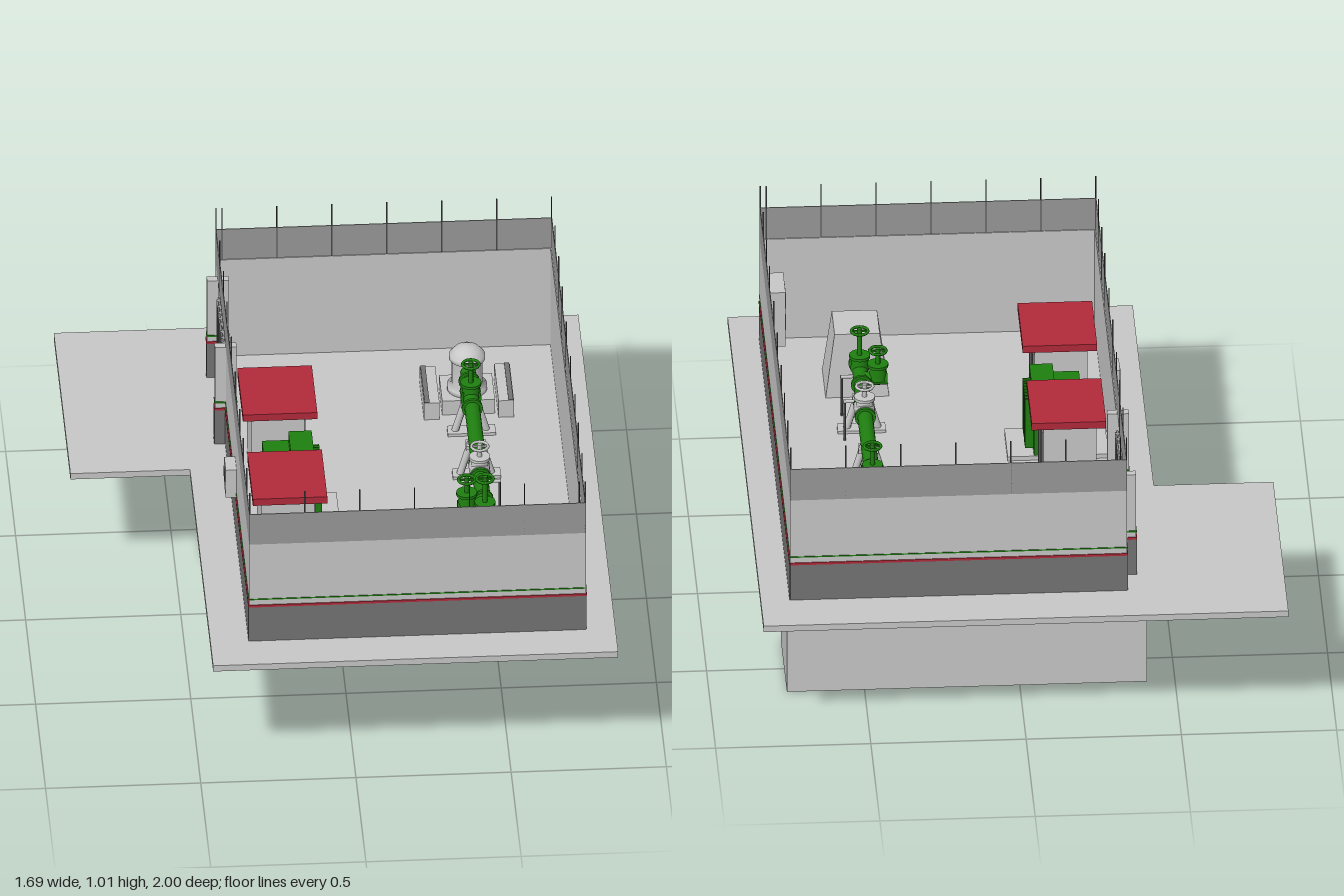
import * as THREE from 'three';

const mat = (name, color, double) => {
  const m = new THREE.MeshStandardMaterial({ color });
  m.name = name;
  if (double) m.side = THREE.DoubleSide;
  return m;
};

export function createModel() {
  const M = {
    light: mat('concrete grey', 0xc8c8c8),
    dark: mat('plinth grey', 0x747474),
    fence: mat('fence grey', 0x999999),
    red: mat('red', 0xb22a3a),
    green: mat('green', 0x1f8010),
    post: mat('post dark grey', 0x484848),
  };
  const root = new THREE.Group();
  const add = (name, geo, m, parent = root) => {
    const mesh = new THREE.Mesh(geo, m);
    mesh.name = name;
    parent.add(mesh);
    return mesh;
  };
  // box from its limits
  const box = (name, m, x0, x1, y0, y1, z0, z1, parent) => {
    const b = add(name, new THREE.BoxGeometry(x1 - x0, y1 - y0, z1 - z0), m, parent);
    b.position.set((x0 + x1) / 2, (y0 + y1) / 2, (z0 + z1) / 2);
    return b;
  };
  // cylinder between two points
  const rod = (name, m, a, b, r, r2 = r, sides = 16, parent) => {
    const p = new THREE.Vector3(...a), q = new THREE.Vector3(...b), d = q.clone().sub(p);
    const c = add(name, new THREE.CylinderGeometry(r2, r, d.length(), sides), m, parent);
    c.position.copy(p).add(q).multiplyScalar(0.5);
    c.quaternion.setFromUnitVectors(new THREE.Vector3(0, 1, 0), d.normalize());
    return c;
  };
  const F = 0.447; // floor level

  // L-shaped ground slab and the chamber under it
  const plan = new THREE.Shape([[-0.845, 1], [0.845, 1], [0.845, -1], [-0.46, -1], [-0.46, 0.165], [-0.845, 0.165]]
    .map(([x, y]) => new THREE.Vector2(x, y)));
  const slab = add('groundSlab', new THREE.ExtrudeGeometry(plan, { depth: 0.022, bevelEnabled: false }), M.light);
  slab.rotation.x = -Math.PI / 2;
  slab.position.y = 0.425;
  box('undergroundChamber', M.light, -0.41, 0.75, 0, 0.426, -0.65, -0.32);

  // perimeter walls: x0, x1, z0, z1 and outward direction
  const X0 = -0.335, X1 = 0.75, Z0 = -0.835, Z1 = 0.86, T = 0.006, G0 = -0.70, G1 = -0.34;
  const walls = [
    [X0, X1, Z1 - T, Z1, 0, 1],
    [X0, X1, Z0, Z0 + T, 0, -1],
    [X1 - T, X1, Z0 + T, Z1 - T, 1, 0],
    [X0, X0 + T, Z0 + T, G0, -1, 0],
    [X0, X0 + T, G1, Z1 - T, -1, 0],
  ];
  // thin painted band on the outer face of a wall
  const band = (name, m, [x0, x1, z0, z1, dx, dz], y0, y1, t) => {
    if (dx) {
      const s = dx > 0 ? x1 : x0;
      box(name, m, Math.min(s, s + dx * t), Math.max(s, s + dx * t), y0, y1, z0 - T, z1 + T);
    } else {
      const s = dz > 0 ? z1 : z0;
      box(name, m, x0, x1, y0, y1, Math.min(s, s + dz * t), Math.max(s, s + dz * t));
    }
  };
  for (const w of walls) {
    box('wall', M.light, w[0], w[1], F, 0.815, w[2], w[3]);
    band('wallPlinth', M.dark, w, F, 0.576, 0.002);
    band('redStripe', M.red, w, 0.576, 0.584, 0.003);
    band('greenStripe', M.green, w, 0.603, 0.607, 0.002);
  }

  // fence above the walls, continuous over the gate
  const fence = new THREE.Group();
  fence.name = 'fence';
  root.add(fence);
  const f = 0.003;
  box('fencePanel', M.fence, X0, X1, 0.815, 0.93, Z1 - f, Z1, fence);
  box('fencePanel', M.fence, X0, X1, 0.815, 0.93, Z0, Z0 + f, fence);
  box('fencePanel', M.fence, X0, X0 + f, 0.815, 0.93, Z0 + f, Z1 - f, fence);
  box('fencePanel', M.fence, X1 - f, X1, 0.815, 0.93, Z0 + f, Z1 - f, fence);
  const post = (x, z) => box('fencePost', M.post, x - 0.002, x + 0.002, 0.815, 1.01, z - 0.002, z + 0.002, fence);
  for (let i = 0; i < 7; i++) {
    post(X0 + 0.002 + i * 0.177, Z1 - 0.002);
    post(X1 - 0.002 - i * 0.177, Z0 + 0.002);
  }
  for (const z of [0.69, 0.51, 0.34, 0.115, -0.09, -0.3, -0.48, -0.66]) {
    post(X1 - 0.002, z);
    post(X0 + 0.002, z + 0.02);
  }
  post(X1 - 0.002, Z1 - 0.002);
  post(X0 + 0.002, Z0 + 0.002);

  // ribbed gate between two pillars
  const gate = new THREE.Group();
  gate.name = 'gate';
  root.add(gate);
  for (const z of [-0.72, -0.325]) {
    box('gatePillar', M.light, -0.37, -0.30, F, 0.815, z - 0.013, z + 0.013, gate);
    box('pillarPlinth', M.dark, -0.372, -0.298, F, 0.576, z - 0.015, z + 0.015, gate);
    box('pillarStripe', M.red, -0.373, -0.297, 0.576, 0.584, z - 0.016, z + 0.016, gate);
    box('pillarStripe', M.green, -0.372, -0.298, 0.602, 0.608, z - 0.015, z + 0.015, gate);
  }
  for (const [a, b] of [[G0, -0.523], [-0.517, G1]]) {
    box('gateLeaf', M.fence, X0, X0 + 0.005, 0.455, 0.755, a, b, gate);
    for (let i = 0; i < 5; i++) {
      const z = a + 0.018 + i * 0.035;
      box('gateRib', M.fence, X0 - 0.006, X0 + 0.011, 0.455, 0.755, z - 0.006, z + 0.006, gate);
    }
  }

  // wall cabinets
  box('meterBox', M.light, -0.37, X0, 0.59, 0.695, 0.15, 0.23);
  box('meterWindow', M.dark, -0.373, -0.37, 0.64, 0.675, 0.17, 0.21);
  box('controlCabinet', M.light, 0.68, X1 - T, 0.55, 0.75, 0.62, 0.75);
  for (const y of [0.60, 0.68]) box('cabinetPanel', M.fence, 0.677, 0.68, y, y + 0.045, 0.64, 0.73);

  // two switch houses with red roofs and louvred doors
  for (const z of [-0.14, 0.36]) {
    const house = new THREE.Group();
    house.name = 'switchHouse';
    root.add(house);
    box('houseBody', M.light, -0.27, -0.10, F, 0.732, z - 0.115, z + 0.115, house);
    box('houseRoof', M.red, -0.30, -0.06, 0.73, 0.755, z - 0.14, z + 0.14, house);
    for (let i = 0; i < 6; i++) {
      const c = z - 0.09 + i * 0.036;
      box('houseLouvre', M.fence, -0.10, -0.095, 0.47, 0.70, c - 0.01, c + 0.01, house);
    }
  }

  // transformer with cooling fins on a low base
  box('transformerBase', M.light, -0.325, 0, F, 0.462, 0.02, 0.205);
  box('transformerBody', M.green, -0.24, -0.085, 0.462, 0.67, 0.025, 0.20);
  box('transformerLid', M.green, -0.155, -0.08, 0.67, 0.70, 0.02, 0.20);
  for (let i = 0; i < 8; i++) {
    const z = 0.045 + i * 0.019;
    box('coolingFin', M.green, -0.085, -0.057, 0.48, 0.66, z - 0.004, z + 0.004);
  }

  // main pipe, turning down through the slab at its front end
  const PX = 0.455, PY = 0.59;
  rod('mainPipe', M.green, [PX, PY, -0.46], [PX, PY, 0.66], 0.025);
  const bend = new THREE.QuadraticBezierCurve3(new THREE.Vector3(PX, PY, 0.655),
    new THREE.Vector3(PX, PY, 0.69), new THREE.Vector3(PX, PY - 0.04, 0.69));
  add('pipeElbow', new THREE.TubeGeometry(bend, 8, 0.025, 16), M.green);
  rod('downPipe', M.green, [PX, PY - 0.04, 0.69], [PX, 0.42, 0.69], 0.025);
  rod('pipeOutlet', M.green, [PX, 0.42, 0.69], [PX, 0.402, 0.69], 0.025, 0.01);
  for (const z of [-0.41, -0.35, -0.31, -0.25, 0.08, 0.16, 0.29, 0.43, 0.665])
    rod('pipeFlange', M.green, [PX, PY, z - 0.005], [PX, PY, z + 0.005], 0.034);

  // splayed pipe supports
  for (const z of [-0.33, -0.075, 0.25]) {
    box('supportFoot', M.light, 0.38, 0.535, F, 0.457, z - 0.025, z + 0.025);
    for (const s of [-1, 1]) rod('supportLeg', M.light, [PX + s * 0.05, 0.455, z], [PX + s * 0.015, 0.575, z], 0.012, 0.012, 8);
    box('supportSaddle', M.light, PX - 0.032, PX + 0.032, 0.555, 0.57, z - 0.02, z + 0.02);
  }

  // upright valves with handwheels
  const valve = (x, z, top, m) => {
    const g = new THREE.Group();
    g.name = 'valve';
    root.add(g);
    rod('valveBody', m, [x, PY, z], [x, PY + 0.045, z], 0.03, 0.026, 16, g);
    rod('valveBonnet', m, [x, PY + 0.045, z], [x, PY + 0.055, z], 0.034, 0.034, 16, g);
    rod('valveStem', m, [x, PY + 0.05, z], [x, top, z], 0.008, 0.008, 8, g);
    const wheel = add('handwheel', new THREE.TorusGeometry(0.027, 0.005, 6, 20), m, g);
    wheel.position.set(x, top - 0.008, z);
    wheel.rotation.x = Math.PI / 2;
    box('wheelSpoke', m, x - 0.027, x + 0.027, top - 0.011, top - 0.005, z - 0.003, z + 0.003, g);
  };
  valve(PX, -0.32, 0.72, M.green);
  valve(PX, 0.12, 0.69, M.light);
  valve(PX, 0.39, 0.74, M.green);
  valve(0.40, 0.33, 0.70, M.green);
  rod('branchPipe', M.green, [0.37, PY, 0.33], [PX, PY, 0.33], 0.022);
  rod('meterFlange', M.light, [PX, PY, 0.09], [PX, PY, 0.15], 0.034);

  // drain taps with thin stems reaching below the slab
  for (const [z, bottom] of [[0.185, 0.37], [0.345, 0.395]]) {
    rod('drainStem', M.post, [0.515, bottom, z], [0.515, PY, z], 0.004, 0.004, 8);
    rod('drainArm', M.light, [PX, PY, z], [0.52, PY, z], 0.006, 0.006, 8);
  }
  box('drainBracket', M.post, 0.495, 0.525, 0.408, 0.426, 0.18, 0.20);

  // tapered pedestal carrying the pipe end
  const ped = new THREE.BoxGeometry(0.205, 0.223, 0.19);
  const p = ped.attributes.position;
  for (let i = 0; i < p.count; i++) if (p.getY(i) > 0) p.setXYZ(i, p.getX(i) * 0.71, p.getY(i), p.getZ(i) * 0.8);
  ped.computeVertexNormals();
  add('taperedPedestal', ped, M.light).position.set(0.458, F + 0.1115, 0.555);

  // wellhead at the back end of the pipe, between two side walls
  box('wellBase', M.light, 0.37, 0.54, F, 0.50, -0.59, -0.435);
  for (const s of [-1, 1]) {
    const x = PX + s * 0.12;
    box('wellSideWall', M.light, x - 0.025, x + 0.025, F, 0.51, -0.63, -0.41);
    box('wellSideCap', M.dark, x + s * 0.015 - 0.008, x + s * 0.015 + 0.008, 0.51, 0.513, -0.63, -0.41);
  }
  const profile = [[0, 0.49], [0.065, 0.49], [0.065, 0.515], [0.05, 0.52], [0.05, 0.61], [0.058, 0.615],
    [0.058, 0.63], [0.04, 0.65], [0.02, 0.66], [0, 0.662]].map(([x, y]) => new THREE.Vector2(x, y));
  add('wellhead', new THREE.LatheGeometry(profile, 28), M.light).position.set(PX, 0, -0.51);

  return root;
}
